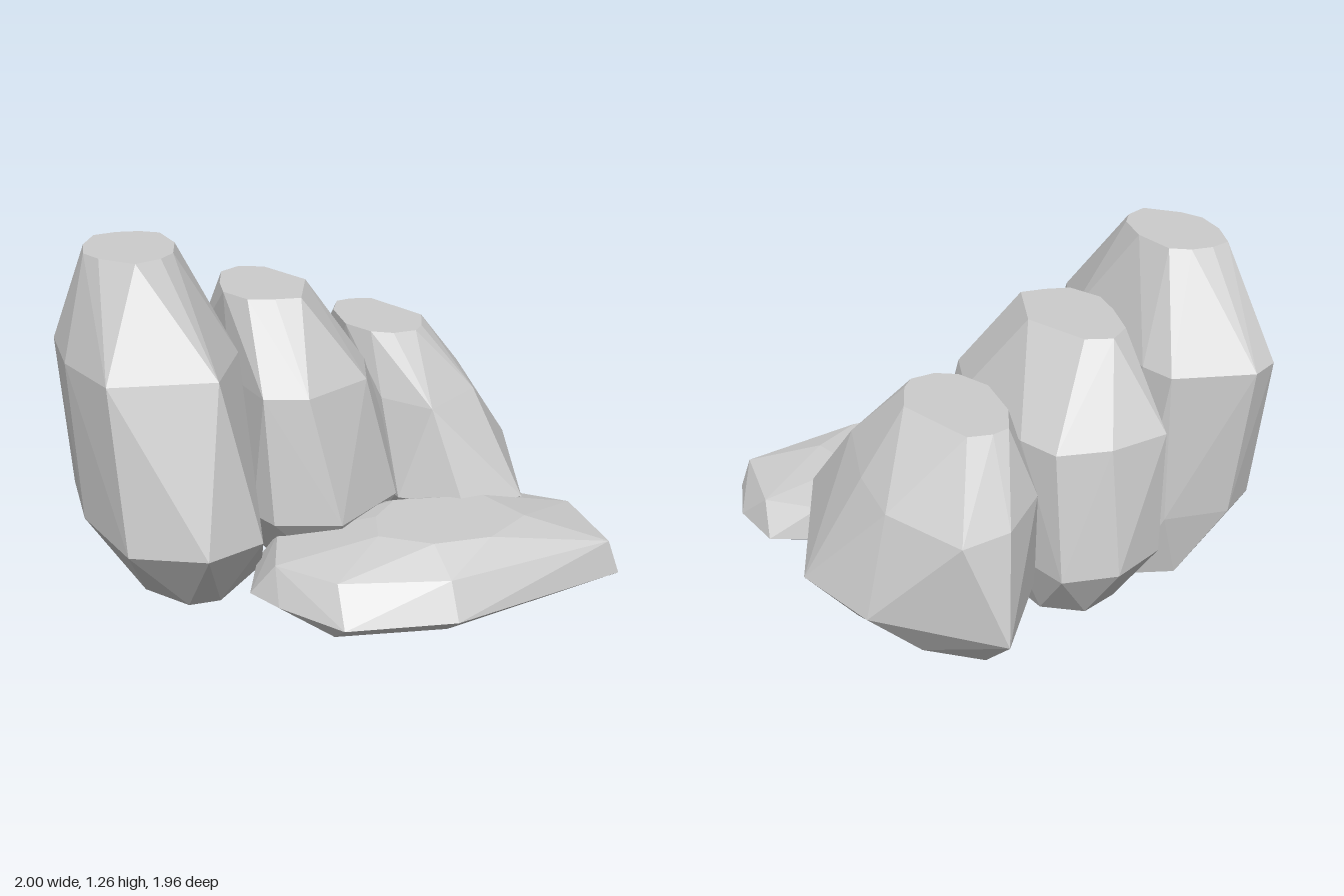
import * as THREE from 'three';
import { ConvexGeometry } from 'three/addons/geometries/ConvexGeometry.js';

// Each rock is a faceted hull around level outlines: [height, [[x, z], ...]]
const rocks = {
  tallRock: [
    [0, [[-0.64, 0.45], [-0.77, 0.28], [-0.76, 0.05], [-0.71, -0.15], [-0.6, -0.42],
      [-0.48, -0.52], [-0.3, -0.45], [-0.25, -0.1], [-0.3, 0.22], [-0.52, 0.45]]],
    [0.28, [[-0.61, 0.68], [-0.87, 0.56], [-0.97, 0.18], [-0.96, -0.18], [-0.82, -0.5],
      [-0.66, -0.6], [-0.4, -0.55], [-0.32, -0.35], [-0.31, 0.1], [-0.39, 0.59]]],
    [0.88, [[-0.52, 0.52], [-0.9, 0.46], [-1, 0.14], [-1, -0.2], [-0.83, -0.58],
      [-0.71, -0.64], [-0.4, -0.54], [-0.36, -0.4], [-0.37, 0.2]]],
    [1.26, [[-0.75, 0.28], [-0.86, 0.16], [-0.9, 0.06], [-0.88, -0.09], [-0.82, -0.24],
      [-0.73, -0.27], [-0.64, -0.26], [-0.57, -0.21], [-0.55, -0.02], [-0.59, 0.15], [-0.65, 0.23]]],
  ],
  middleRock: [
    [0.035, [[-0.1, 0.32], [-0.25, 0.25], [-0.28, 0], [-0.25, -0.4], [-0.15, -0.6],
      [0, -0.65], [0.14, -0.55], [0.2, -0.2], [0.17, 0.15], [0.05, 0.3]]],
    [0.26, [[-0.06, 0.5], [-0.3, 0.42], [-0.35, 0.3], [-0.36, -0.1], [-0.36, -0.5],
      [-0.28, -0.7], [-0.06, -0.79], [0.15, -0.74], [0.22, -0.5], [0.25, -0.1], [0.24, 0.28]]],
    [0.48, [[0.26, 0.1], [0.24, -0.4]]],
    [0.74, [[-0.16, 0.41], [-0.32, 0.36], [-0.37, 0.05], [-0.39, -0.45], [-0.3, -0.68],
      [-0.06, -0.71], [0.14, -0.66], [0.2, -0.5], [0.2, 0], [0.12, 0.25]]],
    [1.045, [[-0.2, 0.11], [-0.3, 0.08], [-0.36, -0.06], [-0.34, -0.2], [-0.29, -0.38],
      [-0.2, -0.45], [-0.1, -0.41], [0, -0.15], [-0.1, 0.12]]],
  ],
  shortRock: [
    [0.07, [[0.32, 0.18], [0.55, 0.2], [0.74, 0.03], [0.8, -0.35], [0.66, -0.65],
      [0.48, -0.8], [0.32, -0.62], [0.26, -0.2]]],
    [0.24, [[0.46, 0.44], [0.25, 0.28], [0.19, -0.2], [0.22, -0.66], [0.47, -0.98],
      [0.85, -0.62], [0.97, -0.27], [0.72, 0.42]]],
    [0.6, [[0.38, 0.29], [0.24, 0.1], [0.18, -0.3], [0.21, -0.66], [0.4, -0.84],
      [0.59, -0.87], [0.74, -0.55], [0.73, -0.27], [0.64, 0.1]]],
    [0.83, [[0.33, -0.01], [0.25, -0.06], [0.19, -0.2], [0.21, -0.42], [0.27, -0.55],
      [0.34, -0.57], [0.43, -0.55], [0.54, -0.23], [0.48, -0.08], [0.43, -0.02]]],
  ],
  flatRock: [
    [0, [[0.83, 0.58], [0.8, 0.73], [0.2, 0.9], [-0.2, 0.83], [-0.3, 0.6],
      [-0.2, 0.35], [0.2, 0.2], [0.7, 0.3]]],
    [0.062, [[1, 0.57], [0.94, 0.81], [0.21, 0.975], [-0.19, 0.91], [-0.36, 0.68],
      [-0.43, 0.54], [-0.33, 0.28], [0, 0.14], [0.5, 0.15], [0.78, 0.24], [0.95, 0.32]]],
    [0.19, [[0.9, 0.79], [0.93, 0.42], [0.75, 0.26], [0.1, 0.2], [-0.27, 0.35],
      [-0.35, 0.6], [-0.18, 0.8], [0.21, 0.9]]],
    [0.27, [[0.03, 0.64], [0.2, 0.76], [0.42, 0.77], [0.62, 0.64], [0.55, 0.42], [0.2, 0.36], [0.08, 0.48]]],
  ],
};

export function createModel() {
  const group = new THREE.Group();
  const stone = new THREE.MeshStandardMaterial({ color: 0xcccccc, flatShading: true });
  for (const [name, rings] of Object.entries(rocks)) {
    const points = rings.flatMap(([y, outline]) => outline.map(([x, z]) => new THREE.Vector3(x, y, z)));
    const rock = new THREE.Mesh(new ConvexGeometry(points), stone);
    rock.name = name;
    group.add(rock);
  }
  return group;
}
